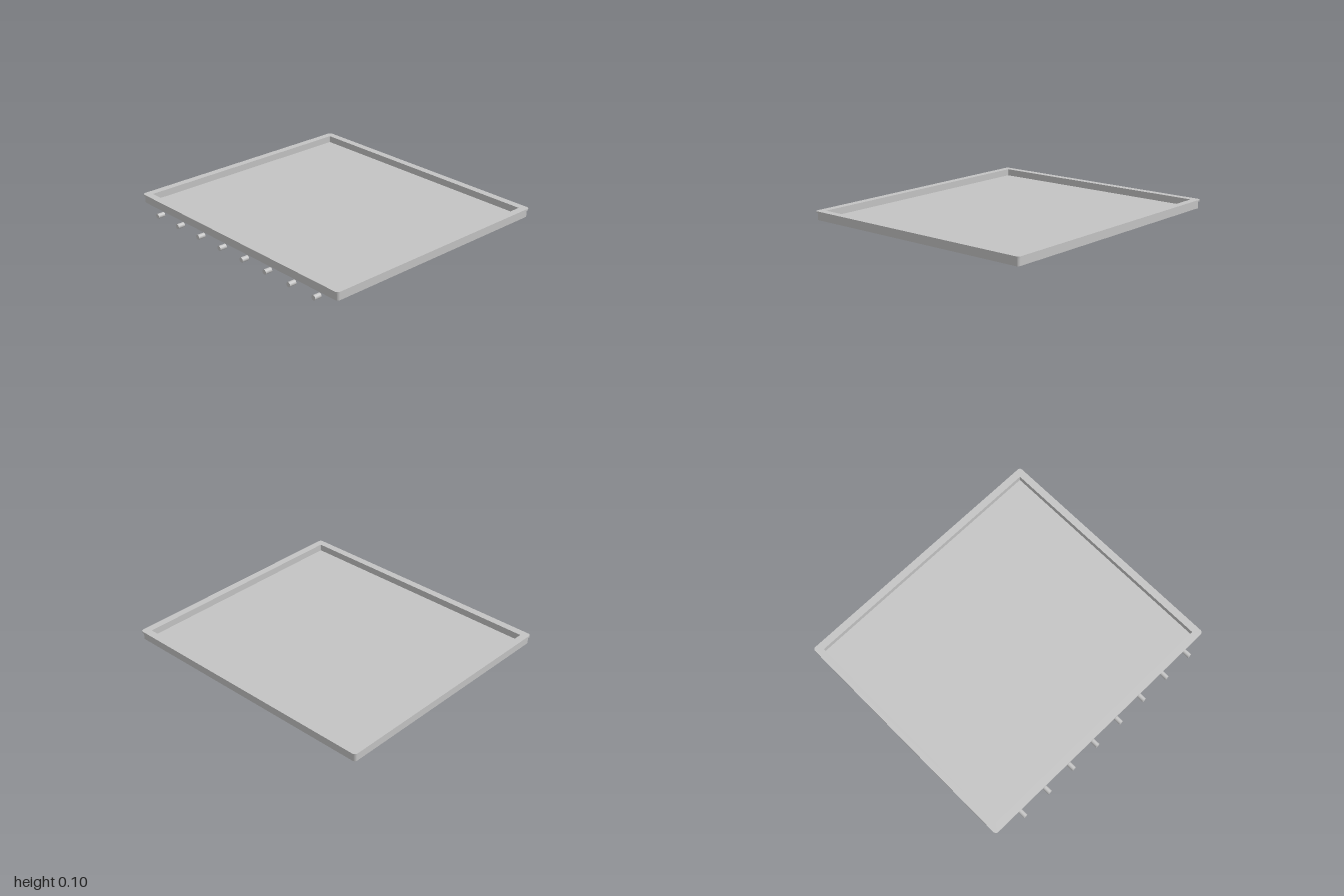
import * as THREE from 'three';

const CX = 0.02; // tray is offset to make room for the pegs

// Rounded rectangle outline centred on the tray
function outline(Type, w, d, r) {
  const s = new Type(), x = w / 2, y = d / 2;
  s.moveTo(-x + r, -y);
  s.lineTo(x - r, -y);
  s.absarc(x - r, -y + r, r, -Math.PI / 2, 0);
  s.lineTo(x, y - r);
  s.absarc(x - r, y - r, r, 0, Math.PI / 2);
  s.lineTo(-x + r, y);
  s.absarc(-x + r, y - r, r, Math.PI / 2, Math.PI);
  s.lineTo(-x, -y + r);
  s.absarc(-x + r, -y + r, r, Math.PI, Math.PI * 1.5);
  return s;
}

export function createModel() {
  const group = new THREE.Group();
  const grey = new THREE.MeshStandardMaterial({ color: 0xc4c4c4 });
  grey.name = 'light grey';

  const add = (name, geometry, x, y, z) => {
    const mesh = new THREE.Mesh(geometry, grey);
    mesh.name = name;
    mesh.position.set(x, y, z);
    group.add(mesh);
    return mesh;
  };

  // Flat ring with a rectangular opening, standing on height y
  const ring = (name, w, d, r, y, h) => {
    const shape = outline(THREE.Shape, w, d, r);
    shape.holes.push(outline(THREE.Path, 1.69, 1.895, 0.004));
    const g = new THREE.ExtrudeGeometry(shape, { depth: h, bevelEnabled: false, curveSegments: 6 });
    g.rotateX(-Math.PI / 2);
    add(name, g, CX, y, 0);
  };

  // Frame wall with a slightly overhanging lip
  ring('frameWall', 1.78, 1.985, 0.02, 0.038, 0.052);
  ring('frameLip', 1.796, 2, 0.022, 0.088, 0.012);

  // Floor panel, its underside just below the frame
  add('floorPanel', new THREE.BoxGeometry(1.69, 0.018, 1.895), CX, 0.042, 0);

  // Row of pegs along the right side
  const pegGeometry = new THREE.CylinderGeometry(0.017, 0.017, 0.052, 24);
  pegGeometry.rotateZ(Math.PI / 2);
  for (let i = 0; i < 8; i++) {
    add('peg', pegGeometry, -0.894, 0.017, -0.766 + i * 0.2286);
  }
  return group;
}
